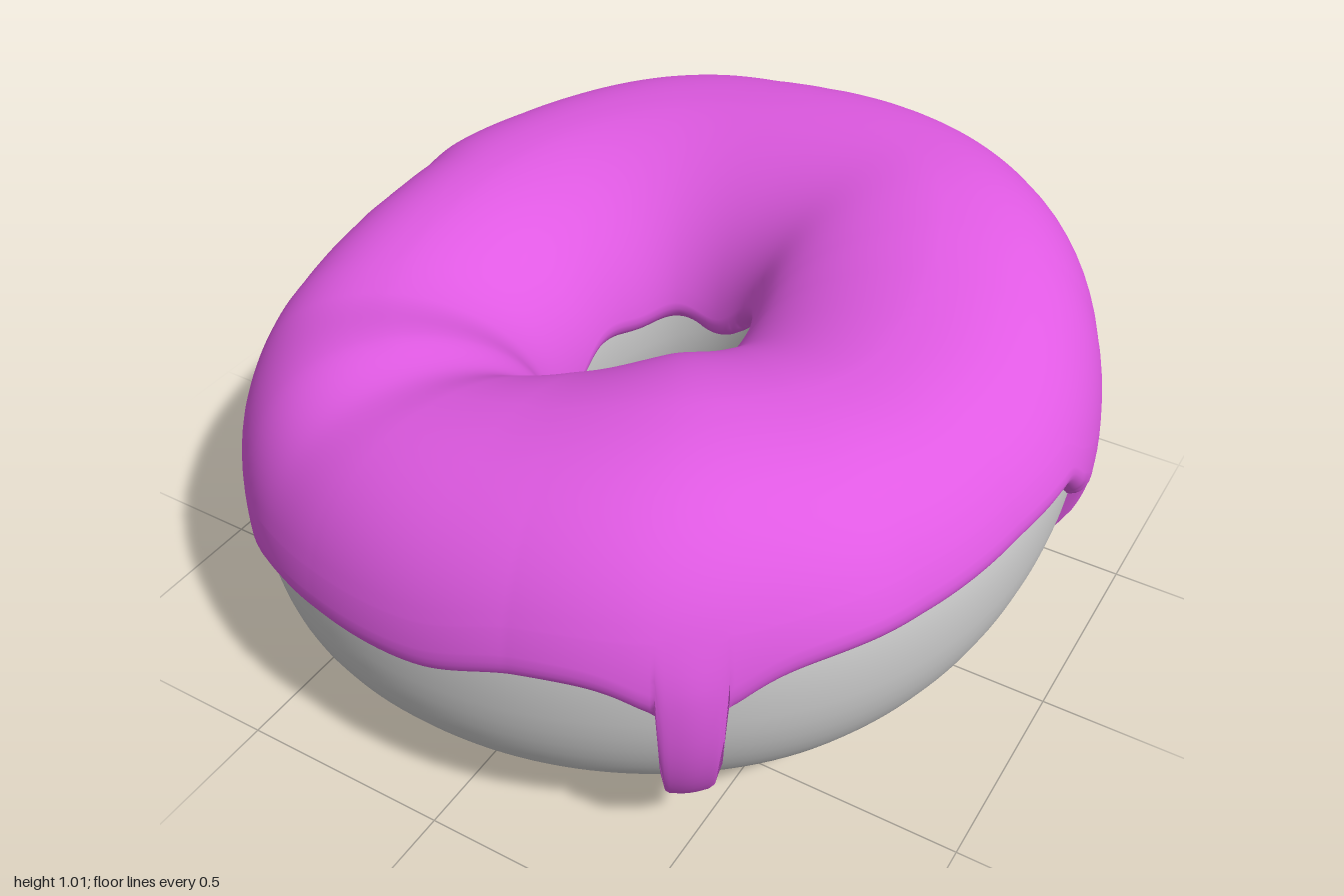
import * as THREE from 'three';

const RAD = Math.PI / 180;
const { lerp, clamp, smoothstep } = THREE.MathUtils;

// Smooth periodic curve through [degrees, value] pairs (0 = +x, 90 = front)
function ring(pairs) {
  const n = pairs.length;
  const at = i => {
    const turn = Math.floor(i / n), p = pairs[i - turn * n];
    return [p[0] + 360 * turn, p[1]];
  };
  const slope = i => (at(i + 1)[1] - at(i - 1)[1]) / (at(i + 1)[0] - at(i - 1)[0]);
  return deg => {
    let i = -1;
    while (at(i + 1)[0] <= deg) i++;
    const [a, va] = at(i), [b, vb] = at(i + 1);
    const w = b - a, t = (deg - a) / w, t2 = t * t, t3 = t2 * t;
    return va * (2 * t3 - 3 * t2 + 1) + vb * (3 * t2 - 2 * t3)
      + w * slope(i) * (t3 - 2 * t2 + t) + w * slope(i + 1) * (t3 - t2);
  };
}

// Outer radius: smooth dough, lumpy icing
const doughR = ring([[0, 0.945], [45, 0.995], [90, 0.985], [135, 0.985], [180, 0.955],
  [225, 1.03], [270, 0.97], [315, 0.975]]);
const icingR = ring([[0, 0.985], [20, 0.975], [36, 1.02], [50, 1.02], [64, 1.03], [87, 1.0],
  [113, 1.01], [130, 1.01], [156, 0.995], [168, 0.97], [180, 0.98], [191, 0.98], [200, 1.035],
  [215, 1.04], [236, 1.075], [248, 1.06], [264, 0.985], [273, 1.0], [293, 1.01], [307, 1.0],
  [325, 0.985], [341, 0.985]]);
// Hole radius, crest height and underside height
const holeR = ring([[0, 0.13], [35, 0.11], [63, 0.115], [90, 0.15], [104, 0.205], [115, 0.255],
  [136, 0.275], [152, 0.27], [175, 0.24], [211, 0.21], [242, 0.21], [270, 0.21], [300, 0.2],
  [325, 0.17]]);
const crest = ring([[0, 0.91], [15, 0.89], [35, 0.905], [60, 0.92], [90, 0.86], [106, 0.825],
  [117, 0.8], [130, 0.82], [148, 0.795], [180, 0.825], [210, 0.88], [240, 0.935], [270, 0.98],
  [300, 1.0], [315, 1.0], [330, 0.98], [345, 0.945]]);
const underside = ring([[0, 0.14], [45, 0.075], [90, 0.03], [135, 0.0], [180, 0.0], [202, 0.025],
  [225, 0.06], [270, 0.13], [315, 0.17]]);

// Height of the icing's lower rim, without drips
const rim = ring([[0, 0.61], [37, 0.59], [57, 0.55], [77, 0.53], [90, 0.46], [108, 0.42],
  [120, 0.38], [132, 0.3], [142, 0.28], [153, 0.33], [168, 0.39], [182, 0.37], [190, 0.34],
  [200, 0.45], [230, 0.5], [254, 0.53], [258, 0.58], [266, 0.65], [274, 0.58], [280, 0.59],
  [289, 0.64], [297, 0.48], [312, 0.44], [330, 0.49], [345, 0.48], [351, 0.5], [355, 0.55],
  [358, 0.6]]);

// Drips: [degrees, length, half width in degrees]
const drips = [[57, 0.41, 3.7], [135.5, 0.15, 2.8], [302.5, 0.17, 3.4], [341.5, 0.25, 3.7]];

function dripAt(deg) {
  let drop = 0, bulge = 0;
  for (const [at, length, half] of drips) {
    const t = (deg - at) / half;
    drop += length * (0.78 * Math.sqrt(Math.max(0, 1 - t ** 6)) + 0.22 * Math.exp(-t * t / 3.5));
    bulge += 0.01 * Math.exp(-t * t);
  }
  return { drop, bulge };
}

const SKIN = 0.03;      // icing thickness on the crest
const HOLE_SKIN = 0.07; // icing thickness inside the hole
const power = (v, p) => Math.sign(v) * Math.abs(v) ** p;

// Rounded dough cross-section at each angle around the ring
function section(deg) {
  const ro = doughR(deg), ri = holeR(deg) + HOLE_SKIN;
  const top = crest(deg) - SKIN, bottom = underside(deg);
  const mid = lerp(bottom, top, 0.53);
  const centre = (ro + ri) / 2, wide = (ro - ri) / 2;
  const c = Math.cos(deg * RAD), s = Math.sin(deg * RAD);
  const outerSkin = Math.max(0.022, icingR(deg) - ro);
  return {
    // phi: 0 outside, 90 deg crest, 180 deg hole side
    point(phi, lift) {
      const cp = Math.cos(phi), sp = Math.sin(phi);
      const round = cp < 0 ? 1.15 : sp > 0 ? 0.83 : 0.94;
      const r = centre + wide * power(cp, round) + lift * cp;
      const high = sp > 0 ? top - mid : mid - bottom;
      return [r * c, mid + high * power(sp, 0.9) + lift * sp, r * s];
    },
    phiAt(y) {
      const v = y > mid ? (y - mid) / (top - mid) : (y - mid) / (mid - bottom);
      return Math.asin(power(clamp(v, -0.97, 0.97), 1 / 0.9));
    },
    skin(phi) {
      const cp = Math.cos(phi);
      return lerp(SKIN, cp > 0 ? outerSkin : HOLE_SKIN, cp * cp);
    },
  };
}

// Skin a set of cross-section loops running around the ring
function sweep(columns, rows, closed, columnPoints) {
  const pos = [], index = [];
  for (let i = 0; i < columns; i++) {
    for (const p of columnPoints(360 * i / columns)) pos.push(...p);
  }
  for (let i = 0; i < columns; i++) {
    const a = i * rows, b = ((i + 1) % columns) * rows;
    for (let j = 0; j < (closed ? rows : rows - 1); j++) {
      const k = (j + 1) % rows;
      index.push(a + j, a + k, b + j, b + j, a + k, b + k);
    }
  }
  const g = new THREE.BufferGeometry();
  g.setAttribute('position', new THREE.Float32BufferAttribute(pos, 3));
  g.setIndex(index);
  g.computeVertexNormals();
  return g;
}

function doughGeometry() {
  const rows = 64;
  return sweep(180, rows, true, deg => {
    const cut = section(deg);
    return Array.from({ length: rows }, (_, j) => cut.point(j / rows * Math.PI * 2, 0));
  });
}

function icingGeometry() {
  const edgeRows = 6, dripRows = 14, bodyRows = 34, edge = 0.13;
  const rows = edgeRows * 2 + dripRows + bodyRows + 1;
  const roll = k => edge * (1 - Math.cos(k / edgeRows * Math.PI / 2));
  return sweep(720, rows, false, deg => {
    const cut = section(deg), { drop, bulge } = dripAt(deg);
    const rimPhi = cut.phiAt(rim(deg));
    const start = cut.phiAt(rim(deg) - drop);
    const shoulder = rimPhi + 0.3; // rows above here are unaffected by drips
    const end = Math.PI - 0.02 + 0.08 * Math.sin(deg * RAD * 3) + 0.03 * Math.sin(deg * RAD * 7);
    const phis = [];
    for (let j = 0; j < edgeRows; j++) phis.push(start + roll(j));
    for (let j = 0; j < dripRows; j++) phis.push(lerp(start + edge, shoulder, j / dripRows));
    for (let j = 0; j < bodyRows; j++) phis.push(lerp(shoulder, end - edge, j / bodyRows));
    for (let j = edgeRows; j >= 0; j--) phis.push(end - roll(j));
    // Rolled rim, plus a fuller body along each drip
    return phis.map(phi => {
      const d = Math.min(phi - start, end - phi, edge) / edge;
      const round = Math.sqrt(Math.max(0, 1 - (1 - d) ** 2));
      const full = bulge * (1 - smoothstep(phi, rimPhi - 0.1, shoulder));
      return cut.point(phi, (cut.skin(phi) + full + 0.006) * round - 0.006);
    });
  });
}

export function createModel() {
  const model = new THREE.Group();
  model.name = 'doughnut';

  const dough = new THREE.Mesh(doughGeometry(), new THREE.MeshStandardMaterial({ color: 0xcccccc }));
  dough.name = 'dough';

  const icing = new THREE.Mesh(icingGeometry(), new THREE.MeshStandardMaterial({ color: 0xe05ae3 }));
  icing.name = 'icing';

  model.add(dough, icing);
  return model;
}
